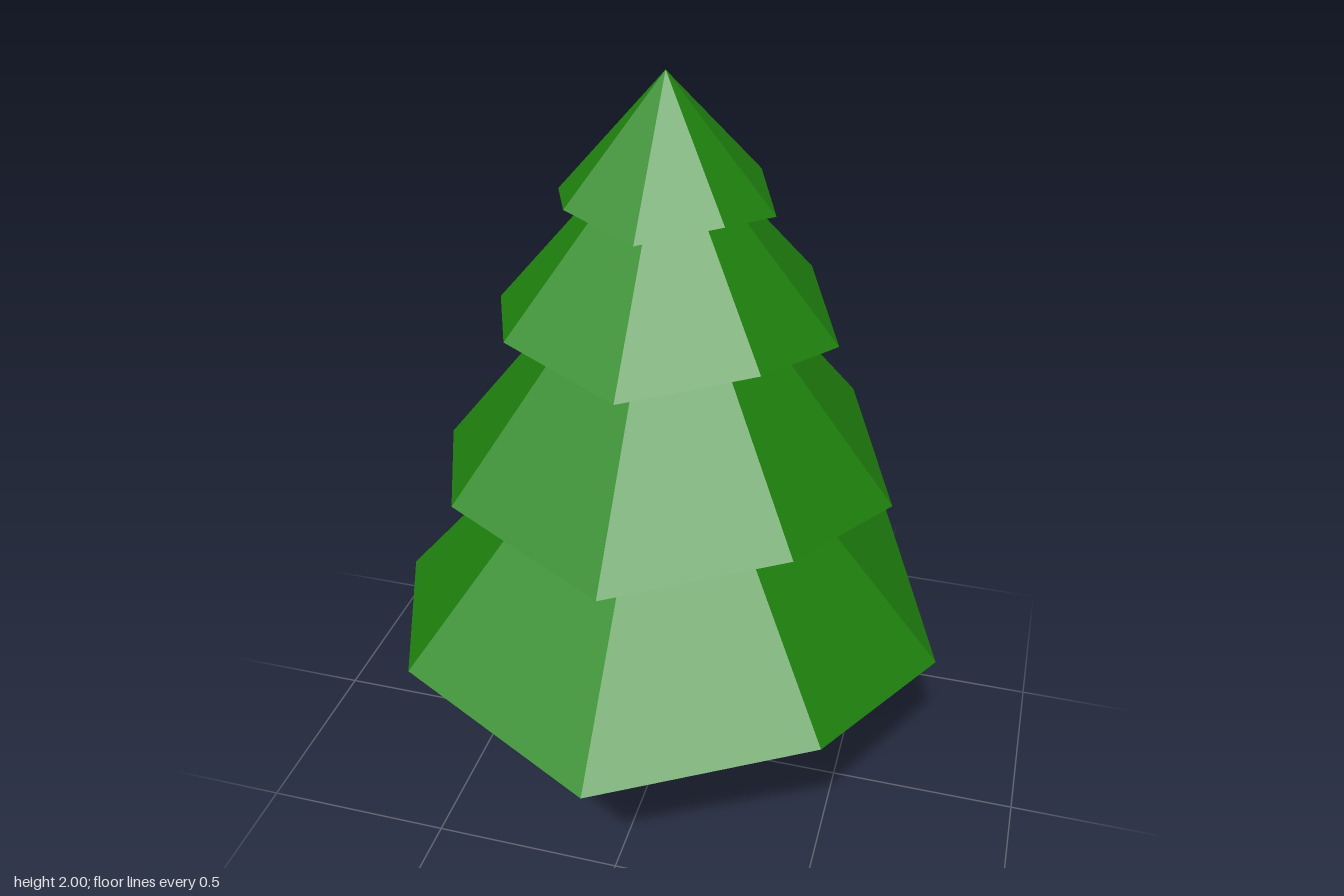
import * as THREE from 'three';

const green = new THREE.MeshStandardMaterial({ color: 0x21870f, flatShading: true });
const brown = new THREE.MeshStandardMaterial({ color: 0x6e4a28, flatShading: true });

// Eight-sided cone whose four axis corners droop below the diagonal ones;
// the whole rim leans slightly down towards +x.
function foliageTier({ name, apex, radius, high, low, lean, hollow }) {
  const rim = [];
  for (let i = 0; i < 8; i++) {
    const a = (i * Math.PI) / 4;
    const y = i % 2 ? high : low - lean * Math.sin(a);
    rim.push([radius * Math.sin(a), y, radius * Math.cos(a)]);
  }
  const points = [];
  rim.forEach((p, i) => {
    const q = rim[(i + 1) % 8];
    points.push(...p, ...q, 0, apex, 0); // sloping side
    points.push(...q, ...p, 0, hollow, 0); // underside
  });
  const geometry = new THREE.BufferGeometry();
  geometry.setAttribute('position', new THREE.Float32BufferAttribute(points, 3));
  geometry.computeVertexNormals();
  const mesh = new THREE.Mesh(geometry, green);
  mesh.name = name;
  return mesh;
}

export function createModel() {
  const tree = new THREE.Group();
  tree.name = 'pineTree';

  // Tapered trunk, ending just inside the lowest tier
  const trunk = new THREE.Mesh(new THREE.CylinderGeometry(0.122, 0.133, 0.62, 10), brown);
  trunk.name = 'trunk';
  trunk.position.set(-0.006, 0.31, 0.008);
  tree.add(trunk);

  // Foliage from bottom to top
  const tiers = [
    { name: 'bottomFoliage', apex: 1.38, radius: 0.746, high: 0.575, low: 0.485, lean: 0.02, hollow: 0.56 },
    { name: 'lowerFoliage', apex: 1.72, radius: 0.592, high: 1.024, low: 0.953, lean: 0.016, hollow: 1.025 },
    { name: 'upperFoliage', apex: 1.9, radius: 0.43, high: 1.427, low: 1.377, lean: 0.012, hollow: 1.43 },
    { name: 'topFoliage', apex: 2, radius: 0.265, high: 1.72, low: 1.686, lean: 0.007, hollow: 1.72 },
  ];
  tiers.forEach((tier) => tree.add(foliageTier(tier)));
  return tree;
}
